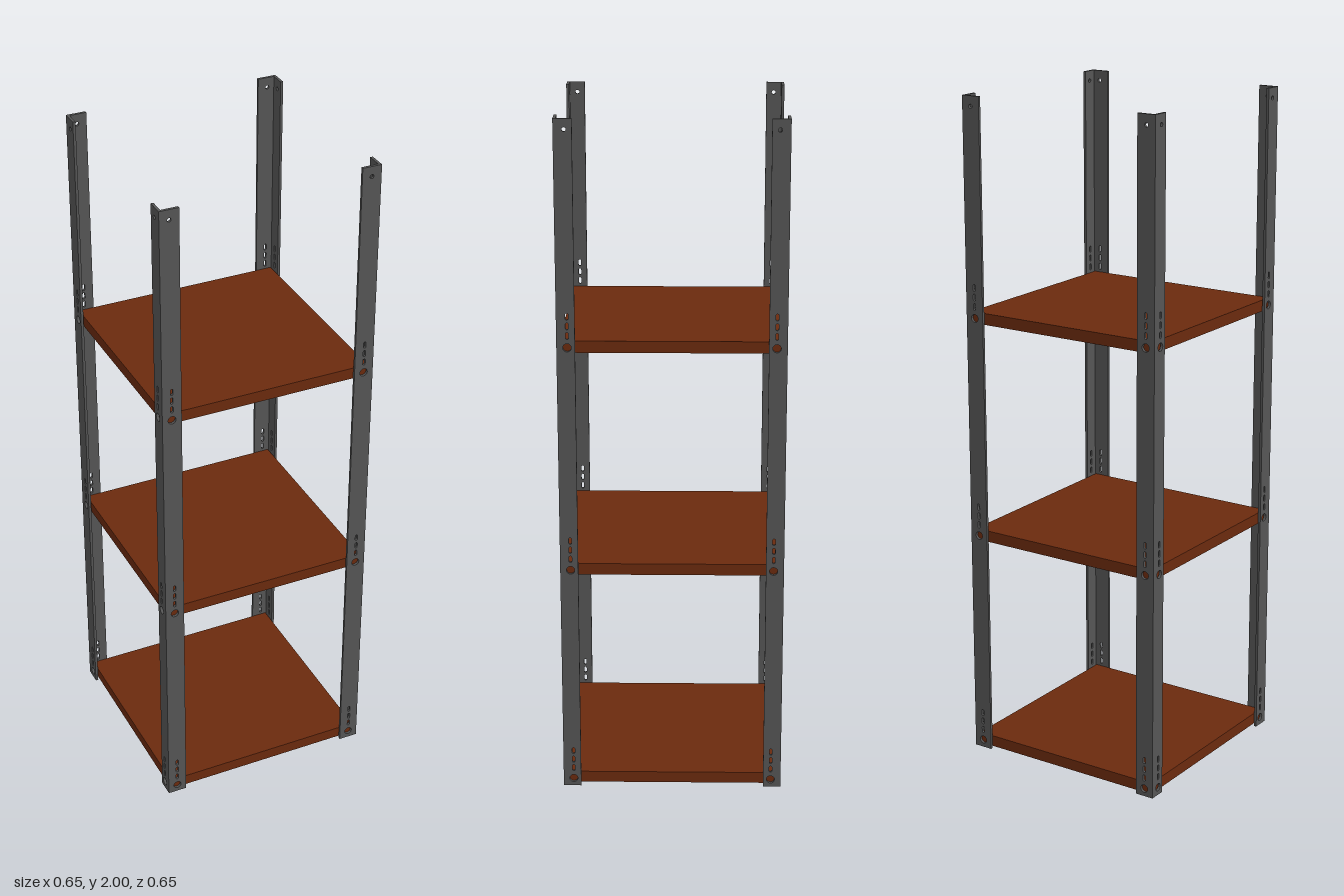
import * as THREE from 'three';

const HEIGHT = 2, THICK = 0.008;
const OUT_X = 0.325, OUT_Z = 0.323;      // outer faces of the posts
const SHELF_Y = [0.024, 0.69, 1.357];    // shelf centre heights

const steel = new THREE.MeshStandardMaterial({ color: 0x555555 });
const wood = new THREE.MeshStandardMaterial({ color: 0x6b2a0e });

function roundHole(y, r) {
  return new THREE.Path().absarc(0, y, r, 0, Math.PI * 2, true);
}

// Upright slot with rounded ends
function slot(y, r, half) {
  const p = new THREE.Path();
  p.absarc(0, y + half, r, 0, Math.PI, false);
  p.absarc(0, y - half, r, Math.PI, Math.PI * 2, false);
  p.closePath();
  return p;
}

// Perforated steel strip, centred on x and z, standing on y = 0
function stripGeometry(width) {
  const w = width / 2;
  const s = new THREE.Shape([
    new THREE.Vector2(-w, 0), new THREE.Vector2(w, 0),
    new THREE.Vector2(w, HEIGHT), new THREE.Vector2(-w, HEIGHT),
  ]);
  for (const y of SHELF_Y) {
    s.holes.push(roundHole(y, 0.012));
    for (let i = 0; i < 3; i++) s.holes.push(slot(y + 0.034 + i * 0.028, 0.004, 0.006));
  }
  s.holes.push(roundHole(1.97, 0.006));
  const g = new THREE.ExtrudeGeometry(s, { depth: THICK, bevelEnabled: false, curveSegments: 8 });
  return g.translate(0, 0, -THICK / 2);
}

export function createModel() {
  const model = new THREE.Group();
  model.name = 'shelvingUnit';

  // Four L-section corner posts, each made of two perforated flanges
  const wideFlange = stripGeometry(0.058);
  const sideFlange = stripGeometry(0.044).rotateY(Math.PI / 2);
  for (const sx of [-1, 1]) {
    for (const sz of [-1, 1]) {
      const post = new THREE.Group();
      post.name = (sz > 0 ? 'front' : 'back') + (sx > 0 ? 'Left' : 'Right') + 'Post';
      const a = new THREE.Mesh(wideFlange, steel);
      a.name = 'wideFlange';
      a.position.set(sx * (OUT_X - 0.029), 0, sz * (OUT_Z - THICK / 2));
      const b = new THREE.Mesh(sideFlange, steel);
      b.name = 'sideFlange';
      b.position.set(sx * (OUT_X - THICK / 2), 0, sz * (OUT_Z - THICK - 0.022));
      post.add(a, b);
      model.add(post);
    }
  }

  // Three wooden shelves held between the posts
  const board = new THREE.BoxGeometry(0.628, 0.034, 0.628);
  SHELF_Y.forEach((y, i) => {
    const shelf = new THREE.Mesh(board, wood);
    shelf.name = ['bottom', 'middle', 'top'][i] + 'Shelf';
    shelf.position.y = y;
    model.add(shelf);
  });

  return model;
}
